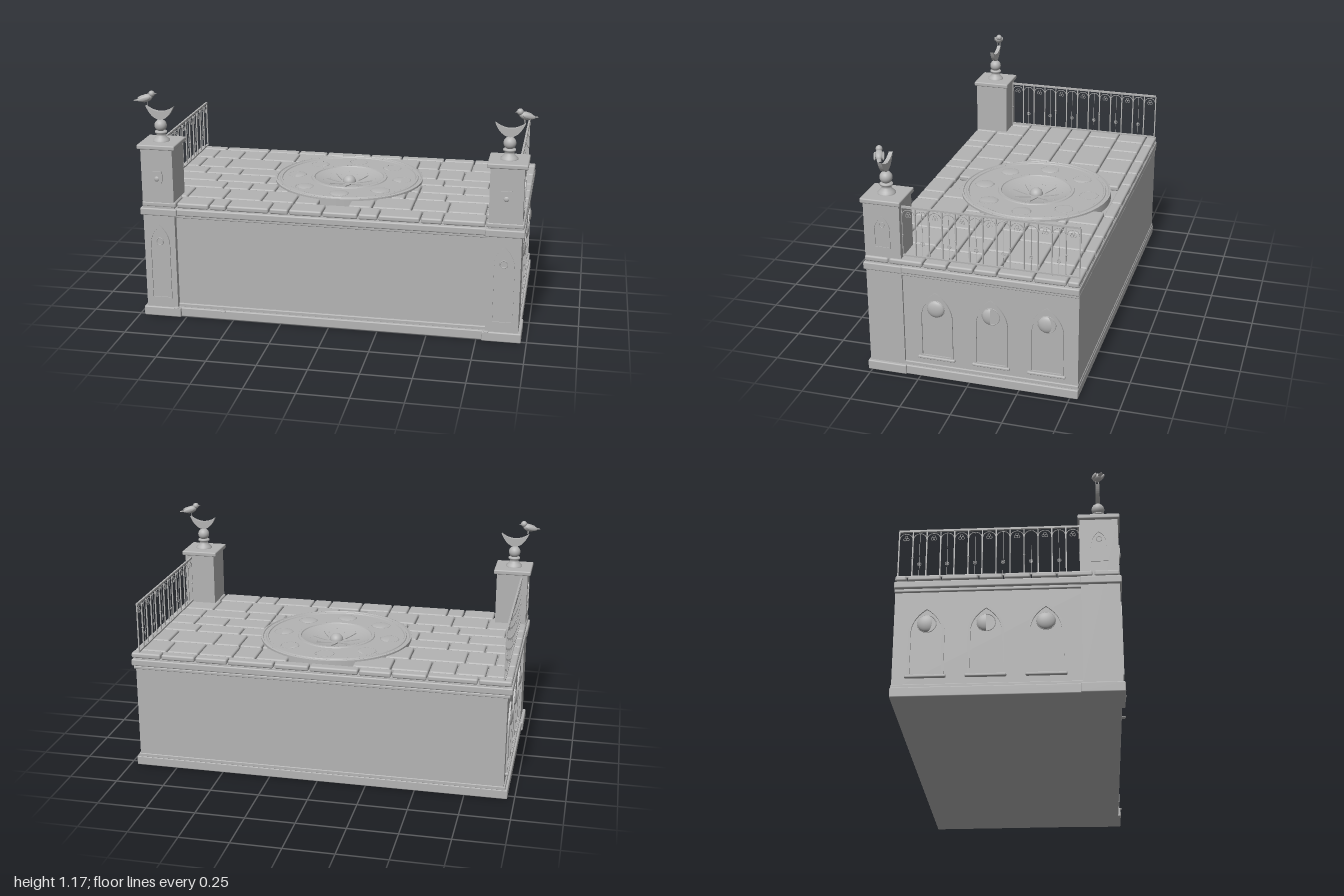
import * as THREE from 'three';
import { RoundedBoxGeometry } from 'three/addons/geometries/RoundedBoxGeometry.js';

const stone = new THREE.MeshStandardMaterial({ color: 0xb4b4b4, side: THREE.DoubleSide });
stone.name = 'grey stone';

function add(parent, name, geometry, x = 0, y = 0, z = 0) {
  const mesh = new THREE.Mesh(geometry, stone);
  mesh.name = name;
  mesh.position.set(x, y, z);
  parent.add(mesh);
  return mesh;
}

function group(parent, name, x = 0, y = 0, z = 0, ry = 0) {
  const g = new THREE.Group();
  g.name = name;
  g.position.set(x, y, z);
  g.rotation.y = ry;
  parent.add(g);
  return g;
}

// Box given by its limits on each axis
function block(parent, name, x0, x1, y0, y1, z0, z1, round = 0) {
  const s = [x1 - x0, y1 - y0, z1 - z0];
  const geo = round ? new RoundedBoxGeometry(...s, 2, round) : new THREE.BoxGeometry(...s);
  return add(parent, name, geo, (x0 + x1) / 2, (y0 + y1) / 2, (z0 + z1) / 2);
}

function extrude(shape, depth) {
  return new THREE.ExtrudeGeometry(shape, { depth, bevelEnabled: false, curveSegments: 12 });
}

// Pointed arch outline standing on y0, springing at ys
function pointedArch(target, w, y0, ys, top) {
  const cy = ys + (top - ys) * 0.6;
  target.moveTo(-w, y0);
  target.lineTo(w, y0);
  target.lineTo(w, ys);
  target.quadraticCurveTo(w * 0.9, cy, 0, top);
  target.quadraticCurveTo(-w * 0.9, cy, -w, ys);
  target.lineTo(-w, y0);
  return target;
}

function archFrame(parent, w, y0, ys, top, t, depth) {
  const shape = pointedArch(new THREE.Shape(), w, y0, ys, top);
  shape.holes.push(pointedArch(new THREE.Path(), w - t, y0 + t, ys, top - t * 1.4));
  add(parent, 'archFrame', extrude(shape, depth));
}

// Moon disc facing +z; lit is the raised share of its face
function moon(parent, r, lit, x, y, z) {
  const g = group(parent, 'moon', x, y, z);
  add(g, 'moonRim', new THREE.TorusGeometry(r, 0.0025, 6, 32));
  if (lit > 0) {
    const dome = add(g, 'moonFace', new THREE.SphereGeometry(r, 20, 14, 0, Math.PI * lit));
    dome.scale.z = 0.4;
  }
  return g;
}

function paving(parent) {
  const g = group(parent, 'paving');
  const zs = [-0.54, -0.48, -0.32, -0.145, -0.03, 0.1, 0.22, 0.39, 0.515];
  const rows = [
    [-0.965, -0.8, -0.55, -0.375, -0.21, 0.04, 0.22, 0.46, 0.63, 0.81, 0.97],
    [-0.965, -0.83, -0.68, -0.55, -0.36, 0, 0.33, 0.45, 0.63, 0.8, 0.97],
    [-0.965, -0.86, -0.71, -0.43, 0.34, 0.46, 0.6, 0.84, 0.97],
    [-0.965, -0.79, -0.6, -0.39, 0.38, 0.51, 0.75, 0.97],
    [-0.965, -0.69, -0.42, 0.4, 0.63, 0.8, 0.97],
    [-0.965, -0.87, -0.62, -0.48, -0.34, 0.34, 0.4, 0.55, 0.8, 0.97],
    [-0.965, -0.91, -0.76, -0.57, -0.37, -0.2, 0.2, 0.4, 0.58, 0.77, 0.97],
    [-0.965, -0.78, -0.61, -0.52, -0.3, -0.2, -0.03, 0.15, 0.25, 0.46, 0.57, 0.78, 0.97],
  ];
  const tile = (a, b, z0, z1) => {
    if (b - a > 0.03) block(g, 'pavingStone', a + 0.003, b - 0.003, 0.594, 0.622, z0 + 0.003, z1 - 0.003, 0.009);
  };
  rows.forEach((xs, r) => {
    const z0 = zs[r], z1 = zs[r + 1];
    // Leave the middle free for the round medallion
    const near = Math.max(0, z0 + 0.07, -0.07 - z1);
    const w = near < 0.3 ? Math.sqrt(0.09 - near * near) : 0;
    for (let i = 0; i < xs.length - 1; i++) {
      const a = xs[i], b = xs[i + 1];
      if (!w) { tile(a, b, z0, z1); continue; }
      if (a < -w) tile(a, Math.min(b, -w), z0, z1);
      if (b > w) tile(Math.max(a, w), b, z0, z1);
    }
  });
}

function medallion(parent) {
  const g = group(parent, 'medallion', 0, 0, -0.07);
  const bowl = (r) => 0.597 + 0.031 * (r / 0.185) ** 2;
  const profile = [[0, bowl(0)], [0.05, bowl(0.05)], [0.1, bowl(0.1)], [0.15, bowl(0.15)], [0.183, 0.628],
    [0.186, 0.633], [0.2, 0.633], [0.203, 0.628], [0.355, 0.628], [0.358, 0.633], [0.367, 0.633],
    [0.37, 0.628], [0.382, 0.628], [0.385, 0.633], [0.394, 0.631], [0.395, 0.592]];
  // Doubled points keep the ring edges sharp
  const points = profile.flatMap(([r, y], i) => (i < 4 ? [1] : [1, 1]).map((_, k) => new THREE.Vector2(r + k * 0.0003, y)));
  add(g, 'medallionDisc', new THREE.LatheGeometry(points, 72));
  // Eight pointed sun lying in the bowl
  const star = new THREE.Shape();
  for (let i = 0; i <= 32; i++) {
    const r = [0.125, 0.08, 0.045, 0.08][i % 4], a = i * Math.PI / 16 + (i % 4 === 1 ? -0.08 : i % 4 === 3 ? 0.08 : 0);
    star[i ? 'lineTo' : 'moveTo'](r * Math.cos(a), r * Math.sin(a));
  }
  const geo = extrude(star, 0.005).rotateX(-Math.PI / 2);
  const p = geo.attributes.position;
  for (let i = 0; i < p.count; i++) p.setY(i, p.getY(i) + bowl(Math.hypot(p.getX(i), p.getZ(i))));
  geo.computeVertexNormals();
  add(g, 'sunRays', geo);
  add(g, 'sunBoss', new THREE.SphereGeometry(0.036, 24, 16), 0, 0.602, 0);
  for (let i = 0; i < 16; i++) {
    const a = (i + 0.5) * Math.PI / 8, r = i % 2 ? 0.14 : 0.11;
    add(g, 'starStud', new THREE.SphereGeometry(0.003, 6, 4), r * Math.cos(a), bowl(r), r * Math.sin(a));
  }
  // Ring of moon phases
  const lit = [1, 0.75, 0.5, 0.25, 0, 0.25, 0.5, 0.75];
  lit.forEach((v, i) => {
    const a = i * Math.PI / 4;
    const m = moon(g, 0.048, v, 0.285 * Math.sin(a), 0.628, 0.285 * Math.cos(a));
    m.rotation.x = -Math.PI / 2;
    if (i > 4) m.rotation.z = Math.PI;
    m.scale.z = 0.4;
  });
}

function railing(parent, s) {
  const g = group(parent, 'railing', s * 0.925, 0, 0);
  const n = 13, z0 = -0.53, step = 0.86 / n;
  const bar = (y, h) => block(g, 'rail', -0.005, 0.005, y, y + h, z0, z0 + 0.86);
  bar(0.627, 0.008);
  bar(0.875, 0.01);
  const ring = (r, y, z) => {
    add(g, 'ironRing', new THREE.TorusGeometry(r, 0.0014, 5, 14), 0, y, z).rotation.y = Math.PI / 2;
  };
  for (let i = 0; i <= n; i++) {
    const z = z0 + i * step;
    block(g, 'baluster', -0.003, 0.003, 0.625, 0.877, z - 0.003, z + 0.003);
    if (i % 4 === 1) add(g, 'balusterKnob', new THREE.SphereGeometry(0.006, 8, 6), 0, 0.735, z);
    if (i === n) break;
    const c = z + step / 2;
    const arch = add(g, 'railArch', new THREE.TorusGeometry(step / 2 - 0.002, 0.002, 5, 16, Math.PI), 0, 0.835, c);
    arch.rotation.y = Math.PI / 2;
    if (i % 2 === 0) {
      for (let k = 0; k < 3; k++) {
        const a = Math.PI / 2 + k * Math.PI * 2 / 3;
        ring(0.007, 0.84 + 0.008 * Math.sin(a), c + 0.008 * Math.cos(a));
      }
    } else {
      ring(0.009, 0.7, c);
      for (const t of [-1, 1]) {
        add(g, 'ironCross', new THREE.BoxGeometry(0.002, 0.018, 0.002), 0, 0.7, c).rotation.x = t * Math.PI / 4;
      }
      block(g, 'thinBar', -0.001, 0.001, 0.63, 0.868, c - 0.001, c + 0.001);
    }
  }
}

// Bird looking along +x with its feet at the origin
function bird(parent, x, y, z, ry) {
  const g = group(parent, 'bird', x, y, z, ry);
  const ball = (name, r, bx, by, bz, sx, sy, sz, tilt) => {
    const m = add(g, name, new THREE.SphereGeometry(r, 16, 12), bx, by, bz);
    m.scale.set(sx, sy, sz);
    m.rotation.z = tilt;
  };
  ball('body', 0.022, 0, 0.032, 0, 1.5, 0.9, 0.95, 0.3);
  ball('head', 0.016, 0.028, 0.053, 0, 1, 1, 1, 0);
  ball('tail', 0.02, -0.042, 0.024, 0, 1.1, 0.18, 0.5, 0.1);
  for (const s of [-1, 1]) {
    ball('wing', 0.02, -0.012, 0.032, s * 0.02, 1.6, 0.6, 0.3, 0.2);
    add(g, 'leg', new THREE.CylinderGeometry(0.002, 0.002, 0.025, 6), 0.004, 0.008, s * 0.007);
  }
  add(g, 'beak', new THREE.ConeGeometry(0.005, 0.016, 8), 0.047, 0.052, 0).rotation.z = -Math.PI / 2;
}

function pillar(parent, s) {
  const g = group(parent, 'pillar', s * 0.875, 0, 0.42);
  block(g, 'pillarBase', -0.098, 0.098, 0, 0.05, -0.1, 0.1, 0.006);
  block(g, 'pillarShaft', -0.082, 0.082, 0.04, 0.9, -0.09, 0.09);
  block(g, 'pillarCornice', -0.096, 0.096, 0.55, 0.588, -0.095, 0.1, 0.006);
  block(g, 'pillarCap', -0.098, 0.098, 0.896, 0.92, -0.1, 0.1, 0.006);
  // Turned finial with ball
  const prof = [[0.043, 0.918], [0.043, 0.926], [0.034, 0.934], [0.024, 0.948], [0.022, 0.958], [0.031, 0.962], [0.031, 0.97], [0.015, 0.974]];
  add(g, 'finialBase', new THREE.LatheGeometry(prof.map(q => new THREE.Vector2(...q)), 28));
  add(g, 'finialBall', new THREE.SphereGeometry(0.031, 24, 16), 0, 1, 0);
  const c = new THREE.Shape();
  c.moveTo(-0.073, 0);
  c.quadraticCurveTo(-0.045, -0.068, 0, -0.07);
  c.quadraticCurveTo(0.045, -0.068, 0.073, 0);
  c.quadraticCurveTo(0, -0.055, -0.073, 0);
  add(g, 'crescent', extrude(c, 0.02), 0, 1.1, -0.01);
  bird(g, s * 0.07, 1.105, 0, s < 0 ? 0.35 : Math.PI + 0.35);
  // Front niche and shield
  const front = group(g, 'frontNiche', 0, 0, 0.09);
  archFrame(front, 0.053, 0.1, 0.4, 0.5, 0.006, 0.006);
  add(front, 'roundel', new THREE.TorusGeometry(0.018, 0.003, 6, 20), 0, 0.41, 0.002);
  const sh = new THREE.Shape();
  sh.moveTo(-0.028, 0.04);
  sh.lineTo(0.028, 0.04);
  sh.lineTo(0.028, -0.005);
  sh.quadraticCurveTo(0.025, -0.03, 0, -0.045);
  sh.quadraticCurveTo(-0.025, -0.03, -0.028, -0.005);
  add(front, 'shield', extrude(sh, 0.007), 0, 0.745, 0);
  add(front, 'shieldBoss', new THREE.SphereGeometry(0.015, 16, 10), 0, 0.745, 0.003).scale.z = 0.6;
  // Small niche on the outer side
  const side = group(g, 'sideNiche', s * 0.082, 0, 0, s * Math.PI / 2);
  archFrame(side, 0.04, 0.67, 0.77, 0.835, 0.005, 0.004);
  add(side, 'roundel', new THREE.TorusGeometry(0.013, 0.002, 6, 20), 0, 0.79, 0.001);
}

export function createModel() {
  const model = new THREE.Group();
  model.name = 'balcony';
  // Main block with plinth and cornice
  block(model, 'plinth', -0.965, 0.965, 0, 0.048, -0.54, 0.505, 0.005);
  block(model, 'plinthTrim', -0.953, 0.953, 0.045, 0.066, -0.538, 0.49, 0.004);
  block(model, 'walls', -0.945, 0.945, 0.04, 0.592, -0.535, 0.48);
  block(model, 'lowerCornice', -0.957, 0.957, 0.536, 0.552, -0.538, 0.495, 0.004);
  block(model, 'upperCornice', -0.968, 0.968, 0.552, 0.588, -0.54, 0.51, 0.007);
  for (const x of [-0.8, -0.55, 0.8]) {
    add(model, 'pebble', new THREE.SphereGeometry(0.012, 10, 6), x, 0.05, 0.515).scale.set(1.3, 0.4, 1.2);
  }
  paving(model);
  medallion(model);
  for (const s of [-1, 1]) {
    pillar(model, s);
    railing(model, s);
    // Three arched niches with moon phases
    [0.167, -0.108, -0.382].forEach((z, i) => {
      const n = group(model, 'sideNiche', s * 0.945, 0, z, s * Math.PI / 2);
      archFrame(n, 0.083, 0.105, 0.335, 0.46, 0.011, 0.008);
      block(n, 'sill', -0.094, 0.094, 0.097, 0.111, -0.002, 0.016, 0.005);
      moon(n, 0.043, [1, 0.5, 0.7][i], 0, 0.372, 0.001);
    });
  }
  return model;
}
